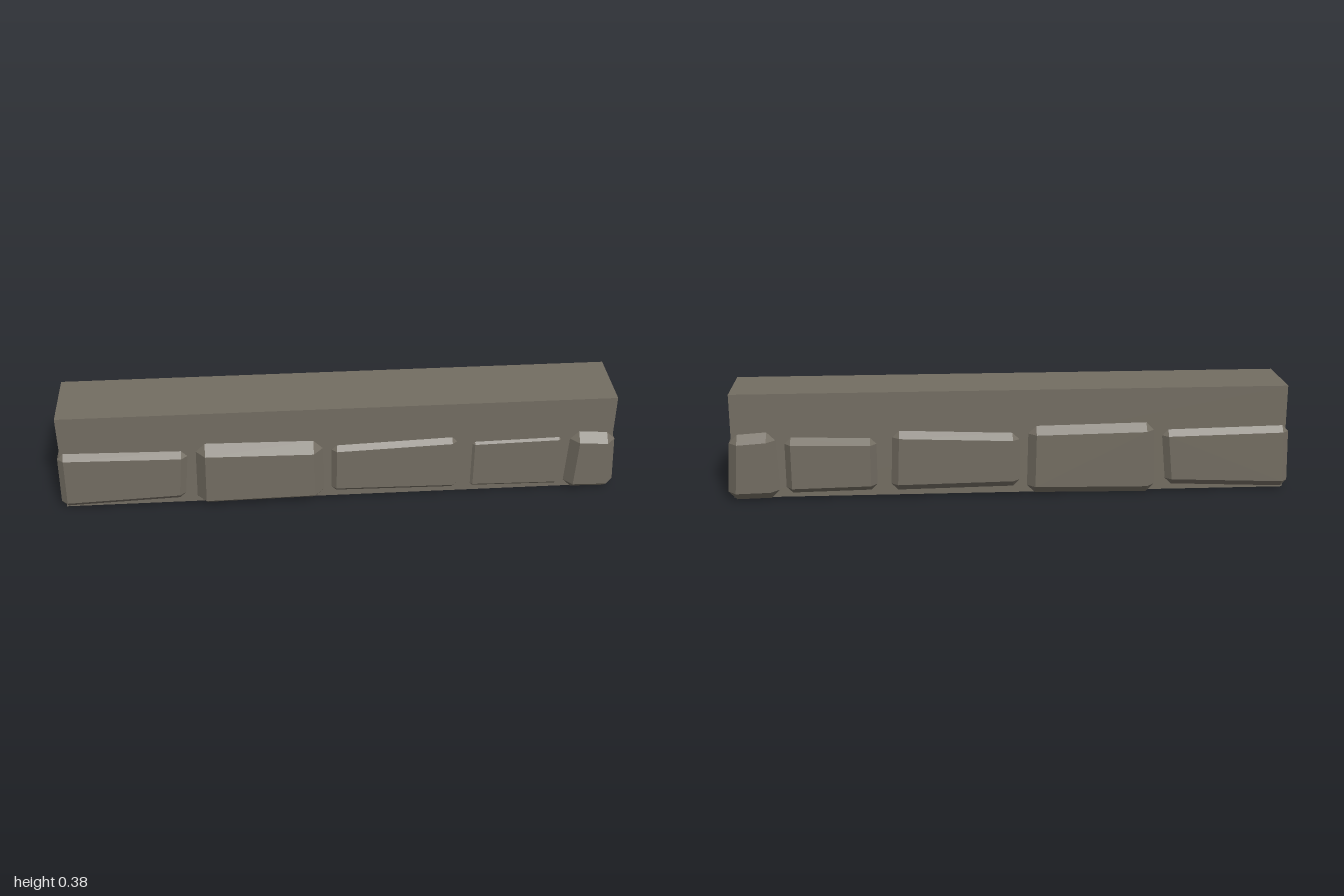
import * as THREE from 'three';
import { ConvexGeometry } from 'three/addons/geometries/ConvexGeometry.js';

const FRONT = 0.115, BACK = -0.125; // faces of the wall core

// Chamfered stone running through the wall.
// corners: [x, y] outline in order top left, top right, bottom right, bottom left
function stoneGeometry({ corners, front, back, insetFront, insetBack }) {
  const points = [];
  corners.forEach(([x, y], i) => {
    const sx = i === 1 || i === 2 ? 1 : -1;
    const sy = i < 2 ? 1 : -1;
    for (const [face, rim, b] of [[front, FRONT, insetFront], [back, BACK, insetBack]]) {
      points.push(
        new THREE.Vector3(x - sx * b, y - sy * b, face), // outer face
        new THREE.Vector3(x, y - sy * b, rim),           // end
        new THREE.Vector3(x - sx * b, y, rim)            // top or bottom
      );
    }
  });
  return new ConvexGeometry(points);
}

export function createModel() {
  const group = new THREE.Group();
  const stone = new THREE.MeshStandardMaterial({ color: 0x736d62 });
  stone.name = 'grey stone';

  // Plain wall core
  const core = new THREE.Mesh(new THREE.BoxGeometry(1.965, 0.378, FRONT - BACK), stone);
  core.name = 'wallCore';
  core.position.set(-0.0025, 0.199, (FRONT + BACK) / 2);
  group.add(core);

  // Row of uneven foundation stones
  const stones = [
    { corners: [[-0.995, 0.242], [-0.54, 0.234], [-0.555, 0.03], [-1, 0.014]],
      front: 0.134, back: -0.144, insetFront: 0.022, insetBack: 0.022 },
    { corners: [[-0.51, 0.262], [-0.062, 0.256], [-0.058, 0.008], [-0.515, 0.003]],
      front: 0.153, back: -0.153, insetFront: 0.033, insetBack: 0.028 },
    { corners: [[-0.03, 0.232], [0.418, 0.247], [0.425, 0.028], [-0.032, 0.034]],
      front: 0.132, back: -0.147, insetFront: 0.018, insetBack: 0.024 },
    { corners: [[0.474, 0.223], [0.795, 0.229], [0.795, 0.025], [0.474, 0.03]],
      front: 0.122, back: -0.153, insetFront: 0.009, insetBack: 0.022 },
    { corners: [[0.826, 0.25], [0.988, 0.243], [1, 0.004], [0.818, 0.007]],
      front: 0.147, back: -0.157, insetFront: 0.03, insetBack: 0.03 },
  ];
  stones.forEach((spec, i) => {
    const mesh = new THREE.Mesh(stoneGeometry(spec), stone);
    mesh.name = `foundationStone${i + 1}`;
    group.add(mesh);
  });

  return group;
}
